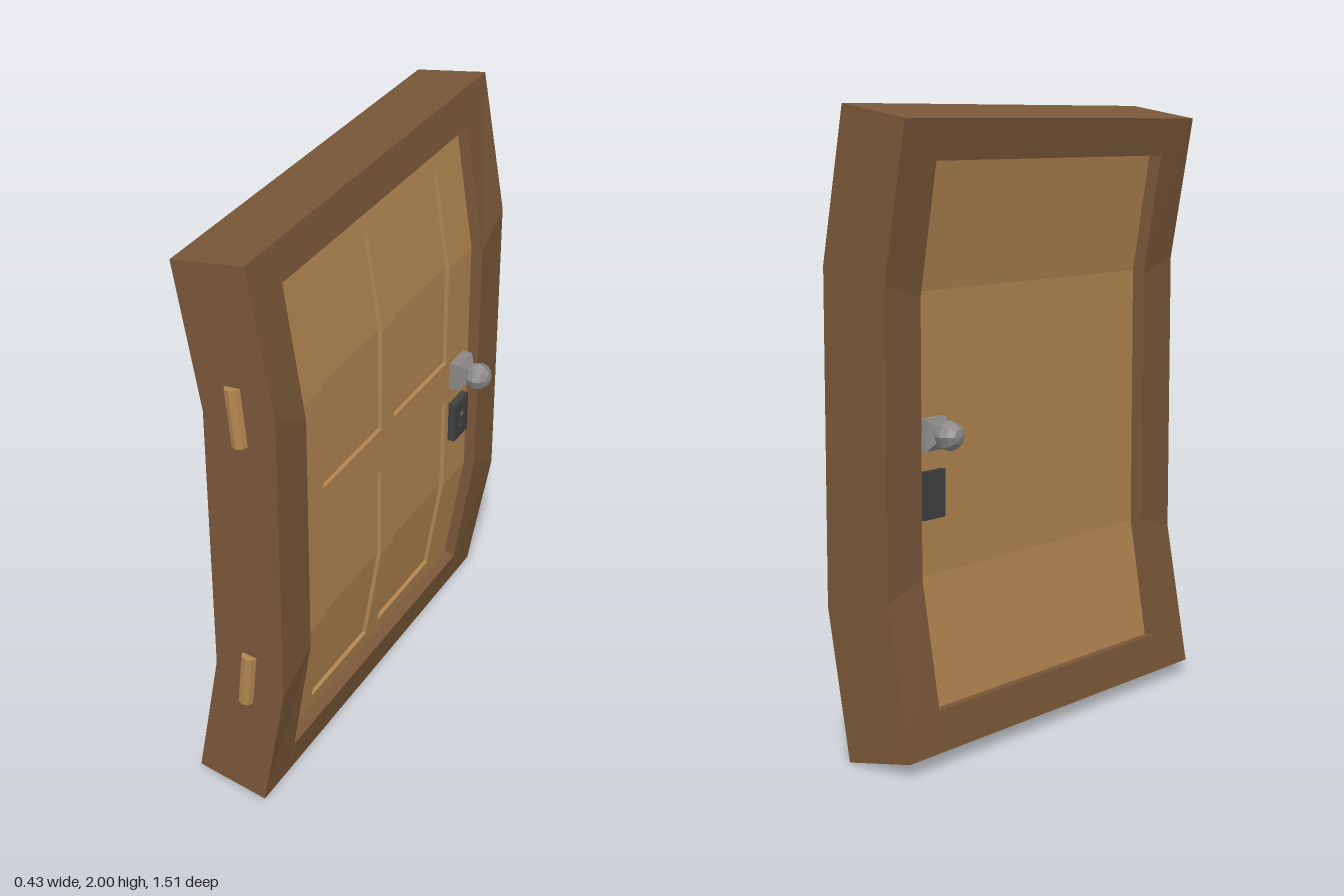
import * as THREE from 'three';

const wood = (name, color) => Object.assign(new THREE.MeshStandardMaterial({ color }), { name });

// Bend profile: straight middle, ends tilted ten degrees towards -x.
const TILT = Math.PI / 18, BEND = 0.48, HALF = 0.986, CX = -0.005;
function warp(s, o, z) {
  const a = Math.abs(s), sign = Math.sign(s);
  if (a <= BEND + o * Math.tan(TILT / 2)) return [CX + o, 1 + s, z];
  const l = a - BEND, sn = Math.sin(TILT), cs = Math.cos(TILT);
  return [CX - l * sn + o * cs, 1 + sign * (BEND + l * cs + o * sn), z];
}

// Box along the bent height: s = height from the middle, o = depth offset.
// bend0 and bend1 are the heights of the crease at z0 and z1.
function slab(s0, s1, o0, o1, z0, z1, bend0 = 0.44, bend1 = bend0) {
  const rows = [[s0, s0]];
  if (s0 < -bend0 && s1 > -bend0) rows.push([-bend0, -bend1]);
  if (s0 < bend0 && s1 > bend0) rows.push([bend0, bend1]);
  rows.push([s1, s1]);
  const rings = rows.map(([a, b]) =>
    [warp(a, o0, z0), warp(b, o0, z1), warp(b, o1, z1), warp(a, o1, z0)]);
  const pos = [];
  const quad = (a, b, c, d) => pos.push(...a, ...b, ...c, ...a, ...c, ...d);
  for (let r = 0; r + 1 < rings.length; r++) {
    for (let i = 0; i < 4; i++) {
      const j = (i + 1) % 4;
      quad(rings[r][i], rings[r][j], rings[r + 1][j], rings[r + 1][i]);
    }
  }
  const [a, b, c, d] = rings[0];
  quad(d, c, b, a);
  quad(...rings[rings.length - 1]);
  const g = new THREE.BufferGeometry();
  g.setAttribute('position', new THREE.Float32BufferAttribute(pos, 3));
  g.computeVertexNormals();
  return g;
}

// Faceted copy of a geometry
function flat(g) {
  const f = g.index ? g.toNonIndexed() : g;
  f.computeVertexNormals();
  return f;
}

export function createModel() {
  const frameMat = wood('dark wood', 0x795738);
  const doorMat = wood('light wood', 0xb28550);
  const metal = wood('grey metal', 0x8b8988);
  const iron = wood('dark iron', 0x404040);

  const model = new THREE.Group();
  model.name = 'door';
  const add = (parent, name, geo, mat, x = 0, y = 0, z = 0) => {
    const m = new THREE.Mesh(geo, mat);
    m.name = name;
    m.position.set(x, y, z);
    parent.add(m);
    return m;
  };
  const group = (name) => {
    const g = new THREE.Group();
    g.name = name;
    model.add(g);
    return g;
  };

  // Frame: two posts and two crossbars
  const frame = group('frame');
  const Z0 = -0.595, Z1 = 0.568, IN = 0.86;
  add(frame, 'latchPost', slab(-HALF, HALF, -0.125, 0.125, -0.755, Z0, 0.5, 0.43), frameMat);
  add(frame, 'hingePost', slab(-HALF, HALF, -0.125, 0.125, Z1, 0.73, 0.43, 0.5), frameMat);
  add(frame, 'topBar', slab(IN, HALF, -0.125, 0.125, Z0, Z1), frameMat);
  add(frame, 'bottomBar', slab(-HALF, -IN, -0.125, 0.125, Z0, Z1), frameMat);

  // Door leaf with raised stiles and rails around four sunken panels
  const leaf = group('leaf');
  const LOW = 0.07, HIGH = 0.084;
  add(leaf, 'leafCore', slab(-IN, IN, -0.08, LOW, Z0, Z1), doorMat);
  for (const [name, a, b] of [['latchStile', Z0, -0.43], ['middleStile', -0.055, 0.03], ['hingeStile', 0.405, Z1]])
    add(leaf, name, slab(-IN, IN, LOW, HIGH, a, b), doorMat);
  for (const [a, b] of [[-0.43, -0.055], [0.03, 0.405]]) {
    add(leaf, 'topRail', slab(0.77, IN, LOW, HIGH, a, b), doorMat);
    add(leaf, 'middleRail', slab(-0.09, 0.07, LOW, HIGH, a, b), doorMat);
    add(leaf, 'bottomRail', slab(-IN, -0.796, LOW, HIGH, a, b), doorMat);
  }

  // Hinges on the edge of the frame
  for (const side of [1, -1]) {
    const hinge = add(model, 'hinge', flat(new THREE.CylinderGeometry(0.026, 0.026, 0.195, 8)),
      doorMat, -0.016, 1 + side * 0.495, 0.729);
    hinge.rotation.z = side * 0.1;
  }

  // Knobs on both faces
  const LATCH = -0.506;
  for (const side of [1, -1]) {
    const knob = group(side > 0 ? 'outerKnob' : 'innerKnob');
    add(knob, 'knobPlate', new THREE.BoxGeometry(0.045, 0.1, 0.1), metal, side * 0.0925, 1.004, LATCH);
    const neckGeo = flat(new THREE.CylinderGeometry(0.024, 0.0707, 0.025, 4, 1).rotateY(Math.PI / 4));
    const neck = add(knob, 'knobNeck', neckGeo, metal, side * 0.1265, 1.004, LATCH);
    neck.rotation.z = -side * Math.PI / 2;
    const ballGeo = flat(new THREE.SphereGeometry(0.048, 8, 6).rotateZ(Math.PI / 2));
    add(knob, 'knobBall', ballGeo, metal, side * 0.164, 1.004, LATCH);
  }

  // Lock plates, the outer one pierced by a keyhole
  const plate = new THREE.Shape([[-0.05, -0.075], [0.05, -0.075], [0.05, 0.075], [-0.05, 0.075]]
    .map(([x, y]) => new THREE.Vector2(x, y)));
  plate.holes.push(new THREE.Path([[-0.016, -0.035], [0.016, -0.035], [0.009, 0], [0.018, 0.012],
    [0.018, 0.026], [0.009, 0.036], [-0.009, 0.036], [-0.018, 0.026], [-0.018, 0.012], [-0.009, 0]]
    .map(([x, y]) => new THREE.Vector2(x, y))));
  const pierced = new THREE.ExtrudeGeometry(plate, { depth: 0.01, bevelEnabled: false }).rotateY(Math.PI / 2);
  add(model, 'outerLockPlate', pierced, iron, 0.095, 0.815, LATCH);
  add(model, 'outerLockBase', new THREE.BoxGeometry(0.025, 0.15, 0.1), iron, 0.0825, 0.815, LATCH);
  add(model, 'innerLockPlate', new THREE.BoxGeometry(0.035, 0.15, 0.1), iron, -0.0875, 0.815, LATCH);

  return model;
}
